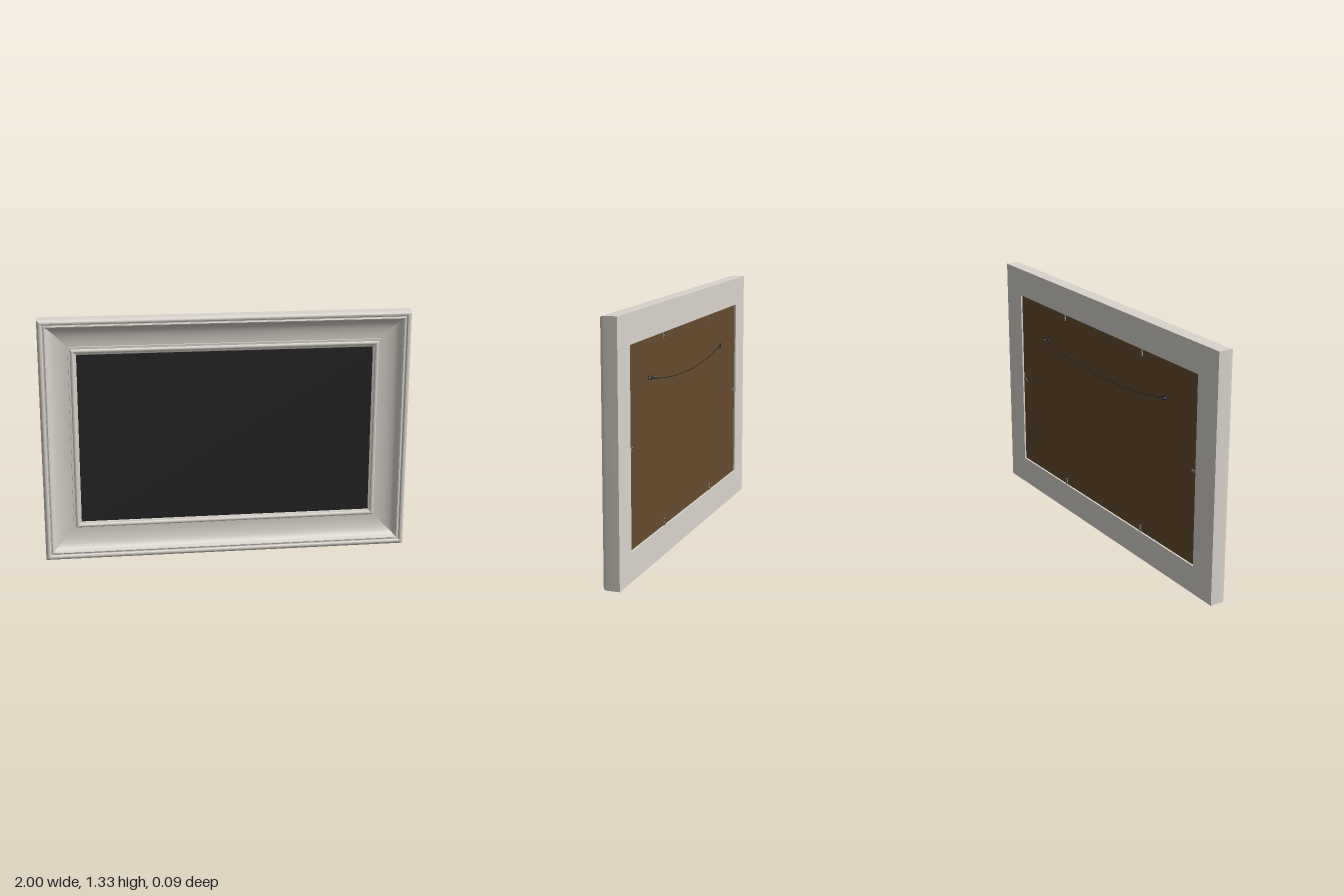
import * as THREE from 'three';
import { toCreasedNormals } from 'three/addons/utils/BufferGeometryUtils.js';

const W = 1, H = 0.667; // half width and half height of the frame

const mat = (name, color) => Object.assign(new THREE.MeshStandardMaterial({ color }), { name });

// Moulding cross-section: [inset from outer edge, z], outer back -> front -> inner -> back
function mouldingProfile() {
  const p = [[0, -0.045], [0, 0.024]];
  // rounded outer lip
  for (let i = 1; i <= 6; i++) {
    const a = (i / 6) * Math.PI / 2;
    p.push([0.017 * (1 - Math.cos(a)), 0.024 + 0.021 * Math.sin(a)]);
  }
  p.push([0.023, 0.0435], [0.027, 0.038], [0.028, 0.033], [0.033, 0.033]);
  // small inner bead beside the groove
  p.push([0.034, 0.036], [0.038, 0.038], [0.043, 0.036], [0.046, 0.031], [0.048, 0.028]);
  // concave scoop
  for (let i = 1; i <= 12; i++) {
    const a = (i / 12) * Math.PI / 2;
    p.push([0.048 + 0.108 * (1 - Math.cos(a)), 0.028 - 0.042 * Math.sin(a)]);
  }
  // step and rounded sight edge
  p.push([0.157, -0.006], [0.168, -0.006], [0.170, -0.002]);
  for (let i = 1; i <= 6; i++) {
    const a = (i / 6) * Math.PI;
    p.push([0.179 - 0.009 * Math.cos(a), -0.002 + 0.005 * Math.sin(a)]);
  }
  // inner lip, rabbet and flat back
  p.push([0.190, -0.005], [0.198, -0.008], [0.2, -0.011], [0.2, -0.02],
    [0.155, -0.02], [0.155, -0.045], [0, -0.045]);
  return p;
}

// One mitred length of moulding along the bottom edge
function mouldingSide(profile, halfLength, halfDepth) {
  const pos = [];
  const pt = (side, [d, z]) => [side * (halfLength - d), d - halfDepth, z];
  for (let i = 0; i < profile.length - 1; i++) {
    const a = pt(-1, profile[i]), b = pt(1, profile[i]);
    const c = pt(1, profile[i + 1]), d = pt(-1, profile[i + 1]);
    pos.push(...a, ...b, ...c, ...a, ...c, ...d);
  }
  const g = new THREE.BufferGeometry();
  g.setAttribute('position', new THREE.Float32BufferAttribute(pos, 3));
  return toCreasedNormals(g, 0.55);
}

export function createModel() {
  const model = new THREE.Group();
  model.name = 'pictureFrame';
  const paint = mat('framePaint', 0xd9d4cc);
  const black = mat('pictureBlack', 0x242424);
  const board = mat('backingBrown', 0x654c2f);
  const steel = mat('clipSteel', 0x8c8c8c);
  const dark = mat('darkMetal', 0x2c2c2c);

  const add = (parent, name, geometry, material, x = 0, y = 0, z = 0) => {
    const m = new THREE.Mesh(geometry, material);
    m.name = name;
    m.position.set(x, y, z);
    parent.add(m);
    return m;
  };

  // Four mitred sides
  const profile = mouldingProfile();
  ['bottomMoulding', 'rightMoulding', 'topMoulding', 'leftMoulding'].forEach((name, k) => {
    const [l, d] = k % 2 ? [H, W] : [W, H];
    add(model, name, mouldingSide(profile, l, d), paint, 0, H, 0).rotation.z = k * Math.PI / 2;
  });

  // Picture and backing board
  add(model, 'picture', new THREE.BoxGeometry(1.62, 0.954, 0.005), black, 0, H, -0.0145);
  add(model, 'backingBoard', new THREE.BoxGeometry(1.686, 1.02, 0.017), board, 0, H, -0.0285);

  // Retaining clips around the board, each with two screws
  const clip = (x, y, turn) => {
    const g = new THREE.Group();
    g.name = 'retainingClip';
    g.position.set(x, y, -0.039);
    g.rotation.z = turn;
    add(g, 'clipPlate', new THREE.BoxGeometry(0.014, 0.036, 0.004), steel);
    for (const s of [-1, 1]) {
      add(g, 'clipScrew', new THREE.CylinderGeometry(0.004, 0.004, 0.003, 12), dark, 0, s * 0.01, -0.003)
        .rotation.x = Math.PI / 2;
    }
    model.add(g);
  };
  for (const s of [-1, 1]) {
    for (const x of [-0.37, 0.37]) clip(x, H + s * 0.493, 0);
    clip(s * 0.824, H, Math.PI / 2);
  }

  // Hanging hardware: strap, screw and ring at each side
  for (const s of [-1, 1]) {
    const g = new THREE.Group();
    g.name = s > 0 ? 'leftHanger' : 'rightHanger';
    g.position.set(s * 0.57, 0.975, -0.039);
    g.rotation.z = s * 0.2;
    add(g, 'hangerStrap', new THREE.BoxGeometry(0.03, 0.018, 0.004), dark, s * 0.008);
    add(g, 'hangerScrew', new THREE.CylinderGeometry(0.006, 0.006, 0.003, 12), steel, s * 0.01, 0, -0.003)
      .rotation.x = Math.PI / 2;
    add(g, 'hangerRing', new THREE.TorusGeometry(0.011, 0.0025, 6, 16), dark, -s * 0.014, 0, -0.001);
    add(g, 'wireTwist', new THREE.CylinderGeometry(0.0038, 0.0038, 0.035, 8), dark, -s * 0.042, -0.001, -0.001)
      .rotation.z = Math.PI / 2;
    model.add(g);
  }

  // Sagging wire
  const points = [];
  for (let i = 0; i <= 12; i++) {
    const t = i / 6 - 1;
    points.push(new THREE.Vector3(t * 0.545, 0.918 + 0.052 * t * t, -0.04));
  }
  add(model, 'hangingWire',
    new THREE.TubeGeometry(new THREE.CatmullRomCurve3(points), 48, 0.0024, 6), dark);

  return model;
}
